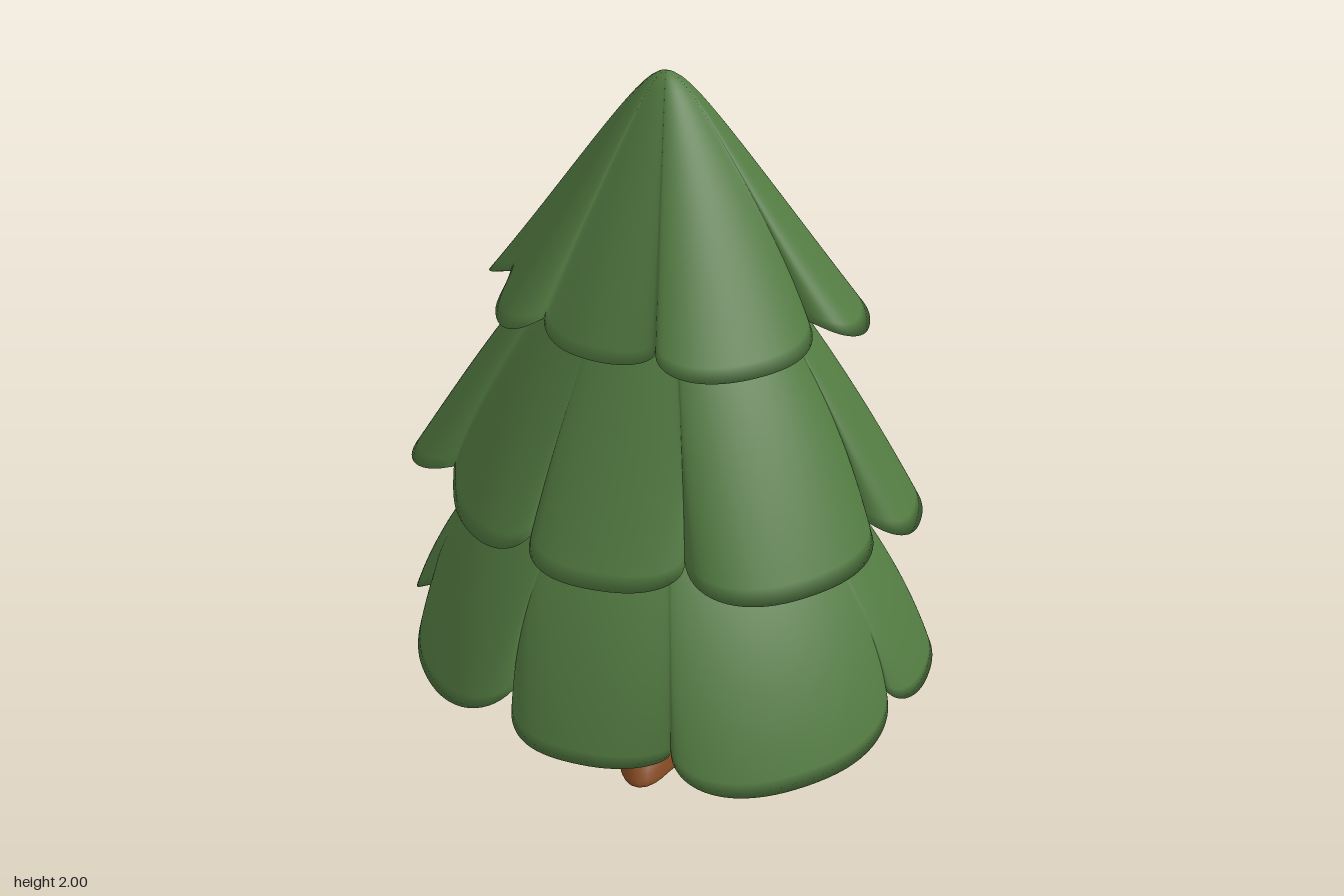
import * as THREE from 'three';

const { lerp, degToRad } = THREE.MathUtils;

// Closed ring surface from a rule point(i, v): i runs counter-clockwise, v runs downward
function ringSurface(name, nu, nv, point, material) {
  const pos = [], idx = [];
  for (let j = 0; j <= nv; j++)
    for (let i = 0; i < nu; i++) pos.push(...point(i, j / nv));
  for (let j = 0; j < nv; j++)
    for (let i = 0; i < nu; i++) {
      const a = j * nu + i, b = j * nu + (i + 1) % nu;
      idx.push(a, a + nu, b + nu, a, b + nu, b);
    }
  const g = new THREE.BufferGeometry();
  g.setAttribute('position', new THREE.Float32BufferAttribute(pos, 3));
  g.setIndex(idx);
  g.computeVertexNormals();
  const mesh = new THREE.Mesh(g, material);
  mesh.name = name;
  return mesh;
}

// Boughs of each tier: [angle of the notch where it starts, notch radius, tip radius, tip height]
const LOWER_BOUGHS = [
  [12, 0.71, 0.765, 0.36], [45, 0.69, 0.68, 0.31], [81, 0.635, 0.68, 0.33], [122, 0.7, 0.77, 0.37],
  [176.5, 0.65, 0.77, 0.38], [219, 0.67, 0.71, 0.37], [274, 0.58, 0.69, 0.36], [317, 0.68, 0.77, 0.31],
];
const MIDDLE_BOUGHS = [
  [17, 0.58, 0.71, 0.82], [46, 0.63, 0.66, 0.81], [80, 0.6, 0.62, 0.77], [96, 0.55, 0.64, 0.8],
  [131, 0.6, 0.73, 0.87], [176, 0.65, 0.73, 0.87], [230, 0.58, 0.59, 0.84], [275, 0.52, 0.6, 0.84],
  [321, 0.54, 0.69, 0.83],
];
const UPPER_BOUGHS = [
  [20, 0.4, 0.54, 1.35], [60, 0.49, 0.51, 1.33], [93, 0.44, 0.51, 1.34], [129, 0.47, 0.58, 1.37],
  [168, 0.48, 0.54, 1.38], [210, 0.43, 0.45, 1.37], [256, 0.36, 0.37, 1.36], [312, 0.38, 0.46, 1.35],
];

// Scalloped hem: each bough is a rounded lobe between two notches
function makeHem(boughs, lift, perBough) {
  return boughs.flatMap(([start, notchR, tipR, tipY], k) => {
    const next = boughs[(k + 1) % boughs.length];
    const prev = boughs[(k + boughs.length - 1) % boughs.length];
    const span = (next[0] - start + 360) % 360;
    const y0 = Math.min(tipY, prev[3]) + lift, y1 = Math.min(tipY, next[3]) + lift;
    return Array.from({ length: perBough }, (_, i) => {
      const u = -Math.cos(i / perBough * Math.PI), s = (u + 1) / 2;
      const full = Math.sqrt(1 - Math.abs(u) ** 3);
      return {
        a: degToRad(start + span * s),
        r: lerp(lerp(notchR, next[1], s), tipR, full),
        y: lerp(lerp(y0, y1, s), tipY, full),
      };
    });
  });
}

// One tier: a smooth cone that breaks into scalloped boughs, then turns under to the core
function makeTier(name, boughs, { top, topR, bulge, sideBulge, round, lift, innerR, innerY }, material) {
  const WINDOW = 18, TURN = 0.75;
  const hem = makeHem(boughs, lift, 36), N = hem.length;
  // The cone above the boughs follows a smoothed hem
  const soft = hem.map((_, i) => {
    let r = 0, y = 0;
    for (let k = -WINDOW; k <= WINDOW; k++) {
      const h = hem[(i + k + N) % N];
      r += h.r;
      y += h.y;
    }
    return { r: r / (2 * WINDOW + 1), y: y / (2 * WINDOW + 1) };
  });

  return ringSurface(name, N, 32, (i, s) => {
    const h = hem[i], sin = Math.sin(h.a), cos = Math.cos(h.a);
    if (s > TURN) {
      const w = (s - TURN) / (1 - TURN);
      const r = lerp(h.r, innerR, w), y = lerp(h.y, innerY, Math.sin(w * Math.PI / 2));
      return [sin * r, y, cos * r];
    }
    const v = s / TURN, shift = 0.03 * (1 - v);
    const reach = lerp(soft[i].r, h.r, v ** 3), low = lerp(soft[i].y, h.y, v ** 3);
    const belly = 1 + (bulge + sideBulge * cos * cos) * (1 - v);
    const r = topR + (reach - topR) * v * belly;
    const drop = (Math.hypot(v, round) - round) / (Math.hypot(1, round) - round);
    return [sin * r + shift, top + (low - top) * drop, cos * r - shift];
  }, material);
}

// Trunk with flared roots, closed by a slightly hollow base
function makeTrunk(material) {
  const N = 84;
  const profile = new THREE.CatmullRomCurve3([
    // radius, height, root depth
    [0.19, 0.75, 0], [0.182, 0.3, 0], [0.186, 0.2, 0.002], [0.202, 0.13, 0.012], [0.232, 0.08, 0.03],
    [0.256, 0.04, 0.045], [0.265, 0.012, 0.05], [0.25, 0.002, 0.048], [0, 0.035, 0],
  ].map(p => new THREE.Vector3(...p)), false, 'centripetal');
  return ringSurface('trunk', N, 50, (i, v) => {
    const a = i / N * Math.PI * 2, p = profile.getPoint(v);
    const r = p.x + p.z * Math.cos(7 * a + 0.6);
    return [Math.sin(a) * r + 0.005, Math.max(p.y, 0), Math.cos(a) * r - 0.025];
  }, material);
}

export function createModel() {
  const green = new THREE.MeshStandardMaterial({ color: 0x527a41, side: THREE.DoubleSide });
  green.name = 'needle green';
  const brown = new THREE.MeshStandardMaterial({ color: 0x854a22, side: THREE.DoubleSide });
  brown.name = 'bark brown';

  const tree = new THREE.Group();
  tree.name = 'tree';
  tree.add(
    makeTier('lowerTier', LOWER_BOUGHS, { top: 1.05, topR: 0.25, bulge: 0.6, sideBulge: 0,
      round: 0.04, lift: 0.11, innerR: 0.17, innerY: 0.54 }, green),
    makeTier('middleTier', MIDDLE_BOUGHS, { top: 1.65, topR: 0.11, bulge: 0.1, sideBulge: 0.28,
      round: 0.04, lift: 0.07, innerR: 0.3, innerY: 0.93 }, green),
    makeTier('upperTier', UPPER_BOUGHS, { top: 2, topR: 0, bulge: 0, sideBulge: 0.05,
      round: 0.12, lift: 0.06, innerR: 0.2, innerY: 1.43 }, green),
    makeTrunk(brown),
  );
  return tree;
}
